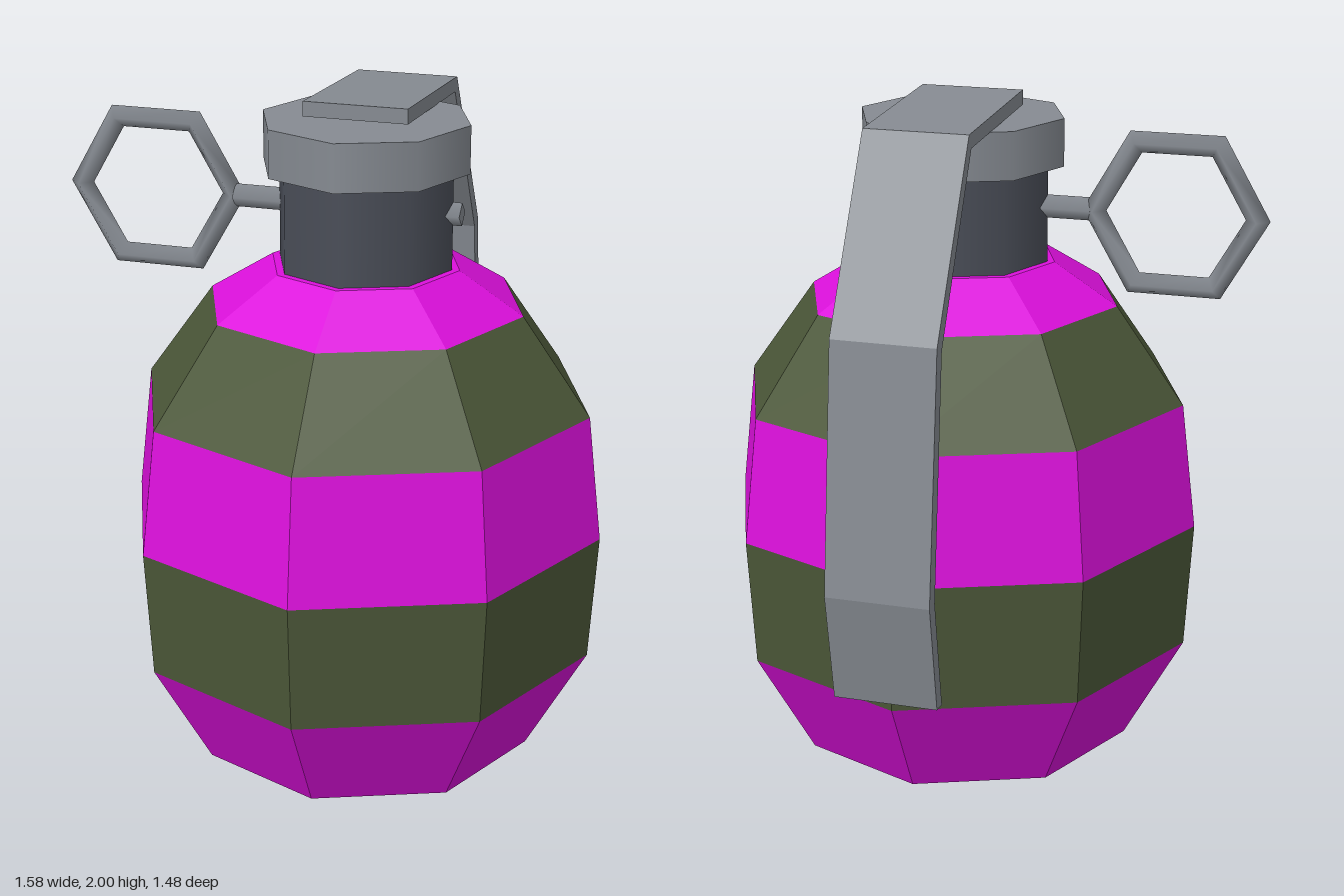
import * as THREE from 'three';

export function createModel() {
  const model = new THREE.Group();
  const CX = 0.09, CZ = 0.045; // body axis

  const olive = new THREE.MeshStandardMaterial({ color: 0x4b5738, flatShading: true });
  olive.name = 'olive green';
  const magenta = new THREE.MeshStandardMaterial({ color: 0xdc10dc, flatShading: true });
  magenta.name = 'magenta';
  const steel = new THREE.MeshStandardMaterial({ color: 0x868b92 });
  steel.name = 'light steel';
  const darkSteel = new THREE.MeshStandardMaterial({ color: 0x4a4e58 });
  darkSteel.name = 'dark steel';

  function add(name, geometry, material, x = 0, y = 0, z = 0) {
    const mesh = new THREE.Mesh(geometry, material);
    mesh.name = name;
    mesh.position.set(x, y, z);
    model.add(mesh);
    return mesh;
  }

  // Eight-sided section standing on the body axis
  function section(name, r0, y0, r1, y1, material, open = false) {
    const geometry = new THREE.CylinderGeometry(r1, r0, y1 - y0, 8, 1, open);
    return add(name, geometry, material, CX, (y0 + y1) / 2, CZ);
  }

  // Faceted body in alternating bands: [radius, height]
  const profile = [
    [0.27, 0], [0.5, 0.1], [0.673, 0.413], [0.695, 0.782],
    [0.652, 1.145], [0.455, 1.42], [0.272, 1.535],
  ];
  for (let i = 0; i < profile.length - 1; i++) {
    const [r0, y0] = profile[i], [r1, y1] = profile[i + 1];
    const isEnd = i === 0 || i === profile.length - 2;
    section('bodyBand' + (i + 1), r0, y0, r1, y1, i % 2 ? magenta : olive, !isEnd);
  }

  // Neck and cap
  section('neck', 0.25, 1.53, 0.25, 1.82, darkSteel);
  section('cap', 0.296, 1.81, 0.296, 1.945, steel);

  // Bent safety lever, drawn in the z-y plane and extruded across x
  const leverOutline = [
    [0.137, 2.0], [-0.375, 1.975], [-0.66, 1.477], [-0.742, 0.782], [-0.685, 0.463],
    [-0.642, 0.46], [-0.697, 0.78], [-0.62, 1.46], [-0.355, 1.935], [0.137, 1.958],
  ].map(([z, y]) => new THREE.Vector2(z, y));
  const lever = new THREE.ExtrudeGeometry(new THREE.Shape(leverOutline), { depth: 0.295, bevelEnabled: false });
  lever.rotateY(-Math.PI / 2);
  add('lever', lever, steel, 0.235, 0, 0);

  // Pin through the neck
  const pin = new THREE.CylinderGeometry(0.033, 0.033, 0.655, 4);
  pin.rotateZ(Math.PI / 2);
  add('pin', pin, steel, 0.038, 1.695, CZ);

  // Hexagonal pull ring
  add('pullRing', new THREE.TorusGeometry(0.23, 0.034, 4, 6), steel, -0.526, 1.695, CZ - 0.005);

  return model;
}
